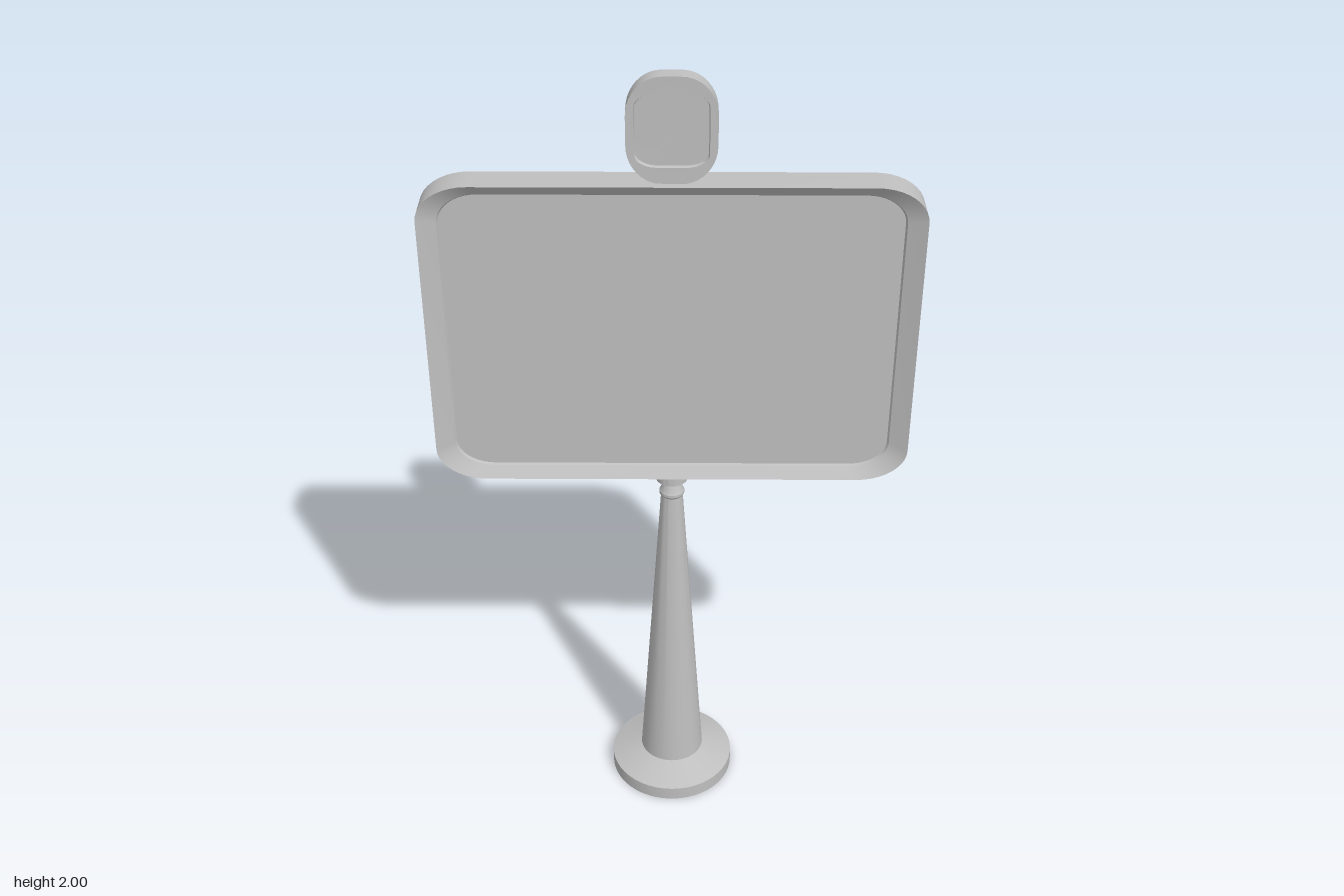
import * as THREE from 'three';
import { toCreasedNormals } from 'three/addons/utils/BufferGeometryUtils.js';

const grey = new THREE.MeshStandardMaterial({ color: 0xbfbfbf });
grey.name = 'plain grey';

// Rounded rectangle with elliptical corners, counter-clockwise seen from +z
function outline({ w, h, rx, ry, y = 0 }) {
  const points = [];
  const steps = 10;
  [[1, 1], [-1, 1], [-1, -1], [1, -1]].forEach(([sx, sy], corner) => {
    for (let i = 0; i <= steps; i++) {
      const a = (corner + i / steps) * Math.PI / 2;
      points.push([sx * (w - rx) + rx * Math.cos(a), y + sy * (h - ry) + ry * Math.sin(a)]);
    }
  });
  return points;
}

// Closed solid through a row of outlines running from back to front
function loft(sections) {
  const positions = [];
  const index = [];
  const rings = sections.map(outline);
  const n = rings[0].length;
  rings.forEach((ring, i) => ring.forEach(([x, y]) => positions.push(x, y, sections[i].z)));
  for (let i = 0; i < rings.length - 1; i++) {
    for (let j = 0; j < n; j++) {
      const k = (j + 1) % n;
      const a = i * n + j, b = i * n + k, c = b + n, d = a + n;
      index.push(a, b, c, a, c, d);
    }
  }
  const last = (rings.length - 1) * n;
  for (let j = 1; j < n - 1; j++) {
    index.push(0, j + 1, j, last, last + j, last + j + 1);
  }
  const geometry = new THREE.BufferGeometry();
  geometry.setAttribute('position', new THREE.Float32BufferAttribute(positions, 3));
  geometry.setIndex(index);
  return toCreasedNormals(geometry, 0.4);
}

// Same recessed face on back and front
function doubleSided(half) {
  const back = half.map((s) => ({ ...s, z: -s.z }));
  return loft([...back, ...half.slice().reverse()]);
}

function lathe(points) {
  const profile = points.map(([r, y]) => new THREE.Vector2(r, y));
  return toCreasedNormals(new THREE.LatheGeometry(profile, 48), 0.3);
}

export function createModel() {
  const model = new THREE.Group();
  model.name = 'signStand';
  const add = (name, geometry, y = 0) => {
    const mesh = new THREE.Mesh(geometry, grey);
    mesh.name = name;
    mesh.position.y = y;
    model.add(mesh);
  };

  // Round foot with a sloping top
  add('base', lathe([[0, 0], [0.162, 0], [0.162, 0.037], [0.083, 0.066], [0, 0.066]]));

  // Tapered post
  add('post', lathe([[0.083, 0.066], [0.027, 0.907], [0, 0.907]]));

  // Neck ring and the small cap under the board
  add('neck', lathe([[0, 0.905], [0.027, 0.905], [0.031, 0.911], [0.031, 0.918],
    [0.027, 0.925], [0.018, 0.955], [0, 0.955]]));
  add('cap', lathe([[0, 0.953], [0.039, 0.953], [0.039, 0.978], [0, 0.978]]));

  // Board with bevelled rim and a sunken panel on each side
  add('board', doubleSided([
    { w: 0.522, h: 0.359, rx: 0.09, ry: 0.066, z: 0.014 },
    { w: 0.526, h: 0.362, rx: 0.094, ry: 0.069, z: 0.02 },
    { w: 0.57, h: 0.389, rx: 0.12, ry: 0.085, z: 0.041 },
  ]), 1.365);

  // Small rounded sign on top
  add('topSign', doubleSided([
    { w: 0.081, h: 0.083, rx: 0.05, ry: 0.032, z: 0.012 },
    { w: 0.083, h: 0.085, rx: 0.05, ry: 0.032, z: 0.02 },
    { w: 0.101, h: 0.1235, rx: 0.08, ry: 0.09, z: 0.0205 },
  ]), 1.8765);

  return model;
}
